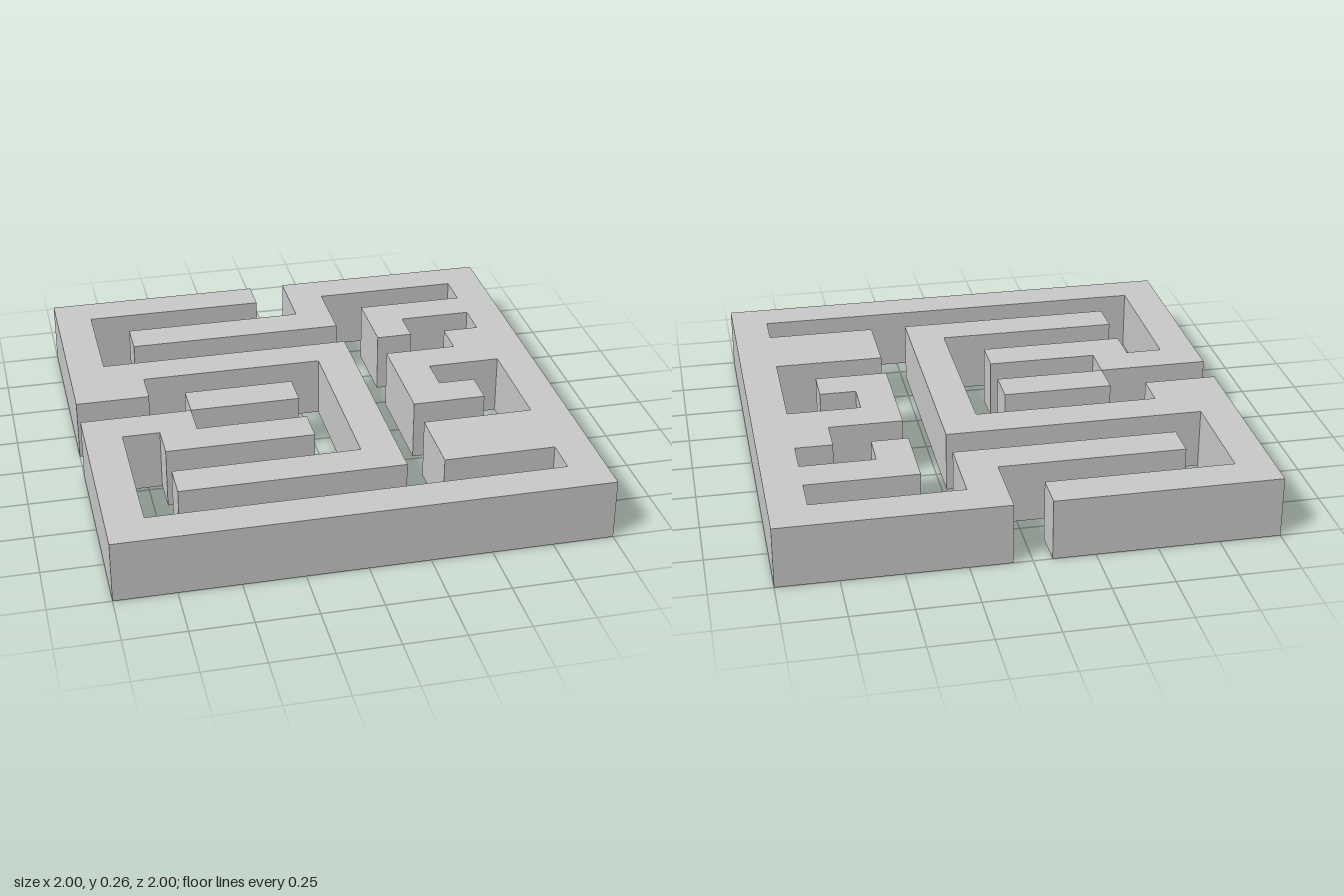
import * as THREE from 'three';
import { mergeGeometries } from 'three/addons/utils/BufferGeometryUtils.js';

// Floor plan: one row per step in z (back to front), one character per step in x
const PLAN = [
  '######.######',
  '#......#....#',
  '#.######.####',
  '#........#..#',
  '########...##',
  '##.....#.####',
  '...###.#.#..#',
  '###....#.##.#',
  '#.####.#....#',
  '#......#.####',
  '#.######.####',
  '#...........#',
  '#############',
];
const CELL = 2 / PLAN.length;
const HEIGHT = CELL * 5 / 3;

// Hollow wall block with four sides and a top, open underneath
function wallBlock(col, row) {
  const block = new THREE.BoxGeometry(CELL, HEIGHT, CELL);
  const index = Array.from(block.index.array);
  index.splice(18, 6); // drop the bottom face
  block.setIndex(index);
  block.clearGroups();
  return block.translate((col + 0.5) * CELL - 1, HEIGHT / 2, (row + 0.5) * CELL - 1);
}

export function createModel() {
  const group = new THREE.Group();
  group.name = 'maze';
  // The blocks are open shells, so their insides show from below
  const material = new THREE.MeshStandardMaterial({ color: 0xcccccc, side: THREE.DoubleSide });

  // One mesh per row of wall blocks
  PLAN.forEach((line, row) => {
    const blocks = [];
    [...line].forEach((mark, col) => {
      if (mark === '#') blocks.push(wallBlock(col, row));
    });
    const walls = new THREE.Mesh(mergeGeometries(blocks), material);
    walls.name = `wallRow${row + 1}`;
    group.add(walls);
  });
  return group;
}
